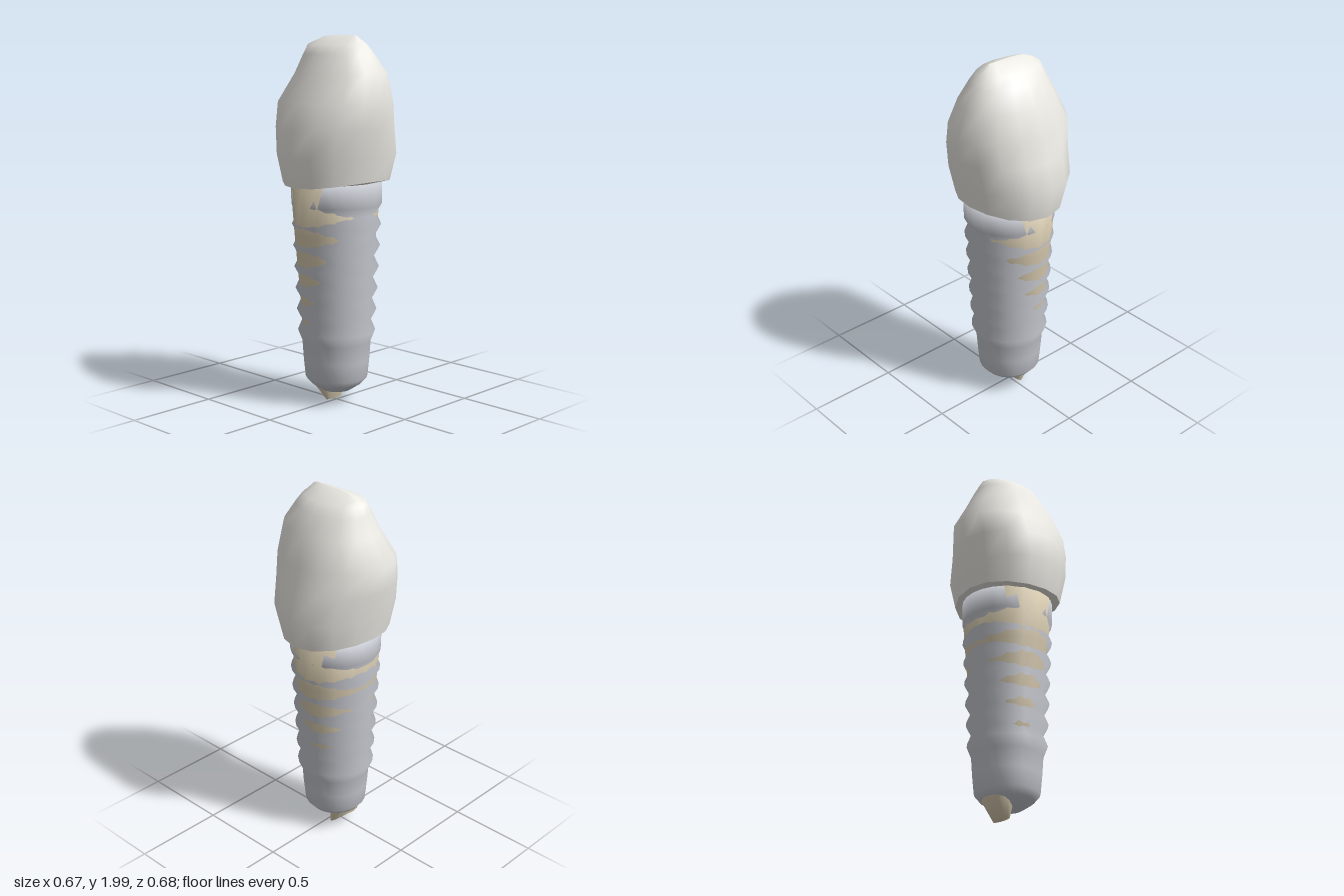
import * as THREE from 'three';

const SIDES = 16;

// Skins a stack of oval rings, listed bottom to top.
// ring: [y, xRight, xLeft, zBack, zFront, liftRight = 0, liftLeft = 0]
function loft(rings, sides = SIDES) {
  const pos = [], index = [];
  for (const [y, x0, x1, z0, z1, lift0 = 0, lift1 = 0] of rings) {
    const cx = (x0 + x1) / 2, cz = (z0 + z1) / 2;
    for (let j = 0; j < sides; j++) {
      const a = (j / sides) * Math.PI * 2, s = Math.sin(a), c = Math.cos(a);
      pos.push(cx + s * (x1 - x0) / 2, y + s * s * (s < 0 ? lift0 : lift1), cz + c * (z1 - z0) / 2);
    }
  }
  for (let i = 0; i < rings.length - 1; i++) {
    for (let j = 0; j < sides; j++) {
      const k = (j + 1) % sides;
      const a = i * sides + j, b = i * sides + k, c = b + sides, d = a + sides;
      index.push(a, b, c, a, c, d);
    }
  }
  const g = new THREE.BufferGeometry();
  g.setAttribute('position', new THREE.Float32BufferAttribute(pos, 3));
  g.setIndex(index);
  g.computeVertexNormals();
  return g;
}

function part(name, geometry, color) {
  const mesh = new THREE.Mesh(geometry, new THREE.MeshStandardMaterial({ color }));
  mesh.name = name;
  return mesh;
}

// Crown: bulges above the gum line, narrows to a biting ridge along x
function crown() {
  const color = 0xebe9e3;
  const rim = [1.213, -0.27, 0.27, -0.302, 0.305, 0.032, 0.032];
  const group = new THREE.Group();
  group.name = 'crown';
  group.add(part('crownShell', loft([
    rim,
    [1.375, -0.297, 0.3, -0.34, 0.34],
    [1.52, -0.317, 0.322, -0.297, 0.325],
    [1.65, -0.335, 0.335, -0.265, 0.285],
    [1.8, -0.25, 0.298, -0.222, 0.207],
    [1.9, -0.208, 0.235, -0.155, 0.152],
    [1.95, -0.185, 0.198, -0.115, 0.118],
    [1.99, -0.15, 0.15, -0.035, 0.035, -0.02, 0.003],
    [2.0, -0.1, 0.13, 0, 0, -0.01, 0],
  ]), color));
  group.add(part('crownUnderside', loft([
    [1.235, 0, 0, 0, 0],
    [1.222, -0.2, 0.2, -0.22, 0.22],
    rim,
  ]), color));
  return group;
}

// Implant: threaded screw with a plain collar and a rounded end
function implant() {
  const pts = [[0, 0.065], [0.08, 0.075], [0.14, 0.115], [0.17, 0.15], [0.18, 0.25], [0.187, 0.35]];
  const threads = 6, pitch = 0.117;
  for (let i = 0; i < threads; i++) {
    const y = 0.41 + i * pitch;
    pts.push([0.211 + i * 0.006, y], [0.187 + i * 0.005, y + pitch / 2]);
  }
  pts.push([0.243, 1.105], [0.245, 1.225], [0, 1.23]);
  const profile = pts.map(([r, y]) => new THREE.Vector2(r, y));
  return part('implantScrew', new THREE.LatheGeometry(profile, 24), 0xc3c6cd);
}

// Root: tapering oval that shows front and back and at the tip
function root() {
  return part('root', loft([
    [0.012, -0.03, -0.03, -0.01, -0.01],
    [0.014, -0.045, -0.015, -0.07, 0.05],
    [0.1, -0.14, 0.01, -0.085, 0.088],
    [0.3, -0.155, 0.06, -0.14, 0.14],
    [0.47, -0.165, 0.11, -0.183, 0.19],
    [0.6, -0.18, 0.135, -0.198, 0.203],
    [0.75, -0.195, 0.165, -0.217, 0.218],
    [0.95, -0.215, 0.2, -0.235, 0.236],
    [1.225, -0.238, 0.23, -0.256, 0.256],
    [1.23, 0, 0, 0, 0],
  ]), 0xd6c9ae);
}

export function createModel() {
  const model = new THREE.Group();
  model.name = 'dentalImplant';
  model.add(crown(), implant(), root());
  model.position.y = -0.012;
  const holder = new THREE.Group();
  holder.name = 'toothImplant';
  holder.add(model);
  return holder;
}
